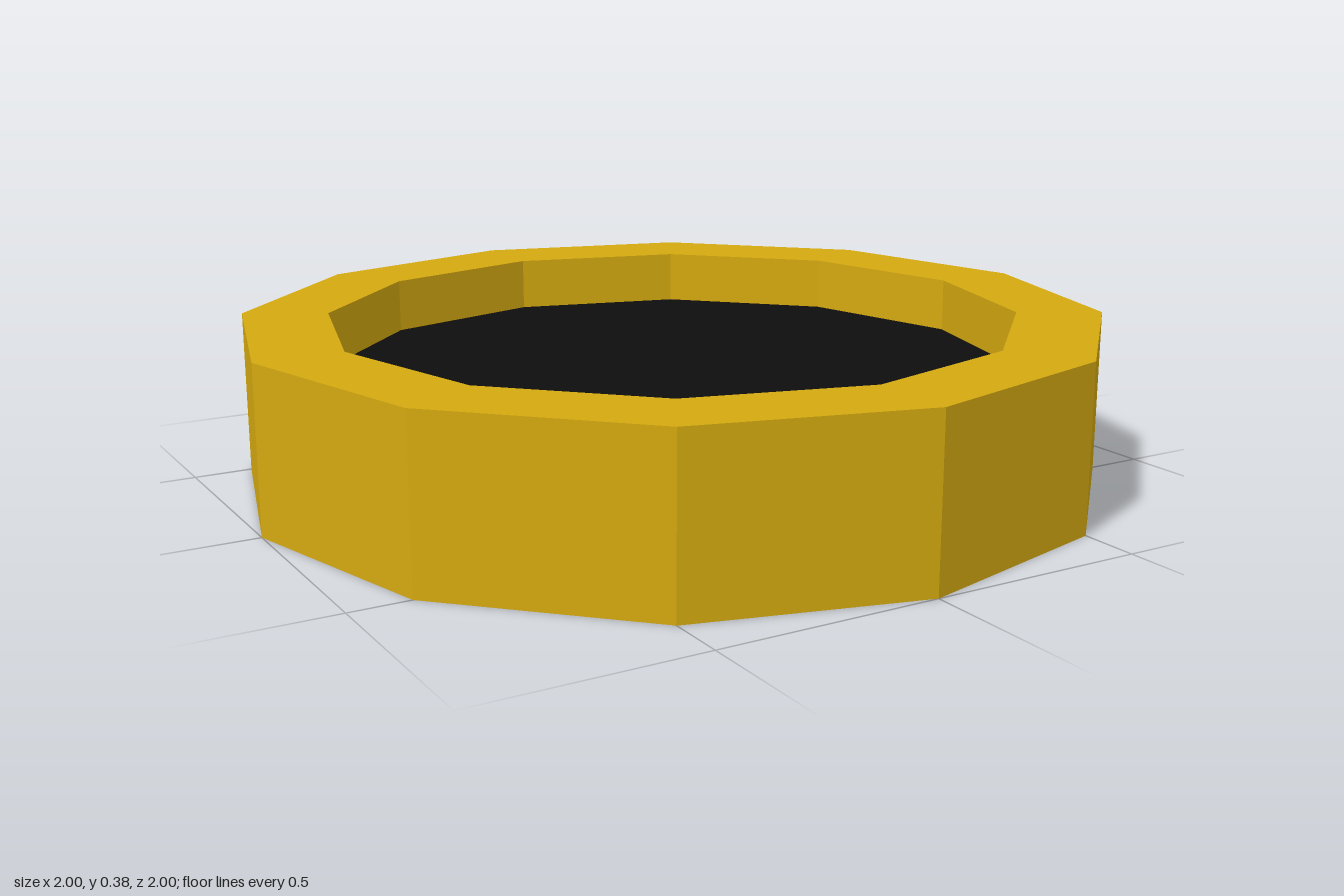
import * as THREE from 'three';

const SIDES = 12;
const HEIGHT = 0.377;
const OUTER = 1;
const INNER = 0.8;
const PANEL_Y = 0.25;

export function createModel() {
  const gold = new THREE.MeshStandardMaterial({ color: 0xd4a910, side: THREE.DoubleSide });
  gold.name = 'gold';
  const black = new THREE.MeshStandardMaterial({ color: 0x0e0e0e, side: THREE.DoubleSide });
  black.name = 'black';

  const model = new THREE.Group();
  model.name = 'framedDisc';

  // Thin shell, open underneath: outer wall, flat rim, short inner wall
  const profile = [
    [OUTER, 0], [OUTER, HEIGHT], [INNER, HEIGHT], [INNER, PANEL_Y],
  ].map(([r, y]) => new THREE.Vector2(r, y));
  const shell = new THREE.LatheGeometry(profile, SIDES).toNonIndexed();
  shell.computeVertexNormals(); // faceted sides
  const frame = new THREE.Mesh(shell, gold);
  frame.name = 'frame';
  model.add(frame);

  // Recessed panel closing the inner wall
  const panel = new THREE.Mesh(new THREE.CircleGeometry(INNER, SIDES).rotateX(-Math.PI / 2), black);
  panel.name = 'recessedPanel';
  panel.position.y = PANEL_Y;
  model.add(panel);

  return model;
}
